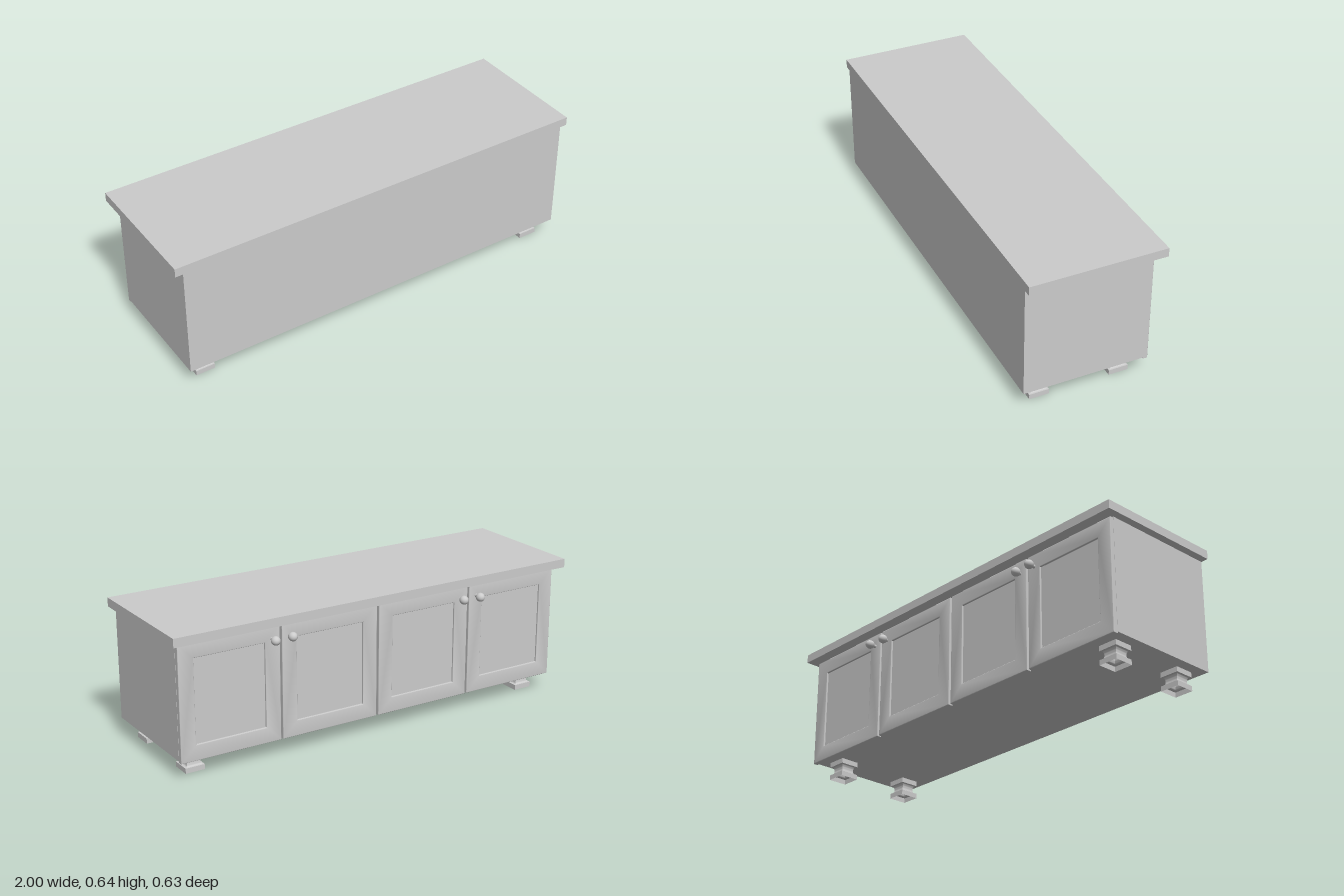
import * as THREE from 'three';
import { toCreasedNormals } from 'three/addons/utils/BufferGeometryUtils.js';

const material = new THREE.MeshStandardMaterial({ color: 0xcccccc });
const openMaterial = new THREE.MeshStandardMaterial({ color: 0xcccccc, side: THREE.DoubleSide });

function add(parent, name, geometry, x, y, z, mat = material) {
  const mesh = new THREE.Mesh(geometry, mat);
  mesh.name = name;
  mesh.position.set(x, y, z);
  parent.add(mesh);
  return mesh;
}

function rectangle(path, w, h) {
  path.moveTo(-w / 2, -h / 2);
  path.lineTo(w / 2, -h / 2);
  path.lineTo(w / 2, h / 2);
  path.lineTo(-w / 2, h / 2);
  path.closePath();
  return path;
}

// Square hollow foot: two blocks with a cove between them
function footGeometry() {
  const profile = [[0.045, 0], [0.045, 0.023], [0.039, 0.023]];
  for (let i = 1; i < 10; i++) {
    const a = (i / 10) * Math.PI;
    profile.push([0.039 - 0.008 * Math.sin(a), 0.0425 - 0.0195 * Math.cos(a)]);
  }
  profile.push([0.039, 0.062], [0.045, 0.062], [0.045, 0.085]);
  const points = profile.map(([half, y]) => new THREE.Vector2(half * Math.SQRT2, y));
  return toCreasedNormals(new THREE.LatheGeometry(points, 4, Math.PI / 4), 0.6);
}

// Door frame with softened edges around a panel opening
function doorFrameGeometry(w, h, stile, depth) {
  const bevel = 0.004;
  const shape = rectangle(new THREE.Shape(), w - 2 * bevel, h - 2 * bevel);
  shape.holes.push(rectangle(new THREE.Path(), w - 2 * stile, h - 2 * stile));
  const geometry = new THREE.ExtrudeGeometry(shape, {
    depth: depth - 2 * bevel, bevelEnabled: true,
    bevelSize: bevel, bevelThickness: bevel, bevelSegments: 3,
  });
  geometry.translate(0, 0, -depth / 2 + bevel);
  return toCreasedNormals(geometry, 0.7);
}

export function createModel() {
  const group = new THREE.Group();
  group.name = 'lowCabinet';

  add(group, 'top', new THREE.BoxGeometry(2, 0.04, 0.616), 0, 0.625, 0.005);
  add(group, 'body', new THREE.BoxGeometry(1.93, 0.52, 0.553), 0, 0.345, 0.0365);

  const foot = footGeometry();
  for (const x of [-0.87, 0.87])
    for (const z of [-0.152, 0.217]) add(group, 'foot', foot, x, 0, z, openMaterial);

  // Four panelled doors on the -z side
  const w = 0.475, h = 0.522, stile = 0.068;
  const frame = doorFrameGeometry(w, h, stile, 0.024);
  const panel = new THREE.BoxGeometry(w - 2 * stile + 0.01, h - 2 * stile + 0.01, 0.012);
  for (const x of [-0.7265, -0.2425, 0.2425, 0.7265]) {
    const door = new THREE.Group();
    door.name = 'door';
    door.position.set(x, 0.339, -0.248);
    add(door, 'doorFrame', frame, 0, 0, 0);
    add(door, 'doorPanel', panel, 0, 0, 0.002);
    group.add(door);
  }

  // Ball knobs in pairs beside the outer door gaps
  const stem = new THREE.CylinderGeometry(0.008, 0.008, 0.03, 20);
  const ball = new THREE.SphereGeometry(0.02, 28, 18);
  for (const side of [-1, 1])
    for (const [x, z] of [[0.528, -0.291], [0.442, -0.285]]) {
      add(group, 'knobStem', stem, side * x, 0.541, -0.268).rotation.x = Math.PI / 2;
      add(group, 'knob', ball, side * x, 0.541, z).scale.z = 1.08;
    }

  return group;
}
